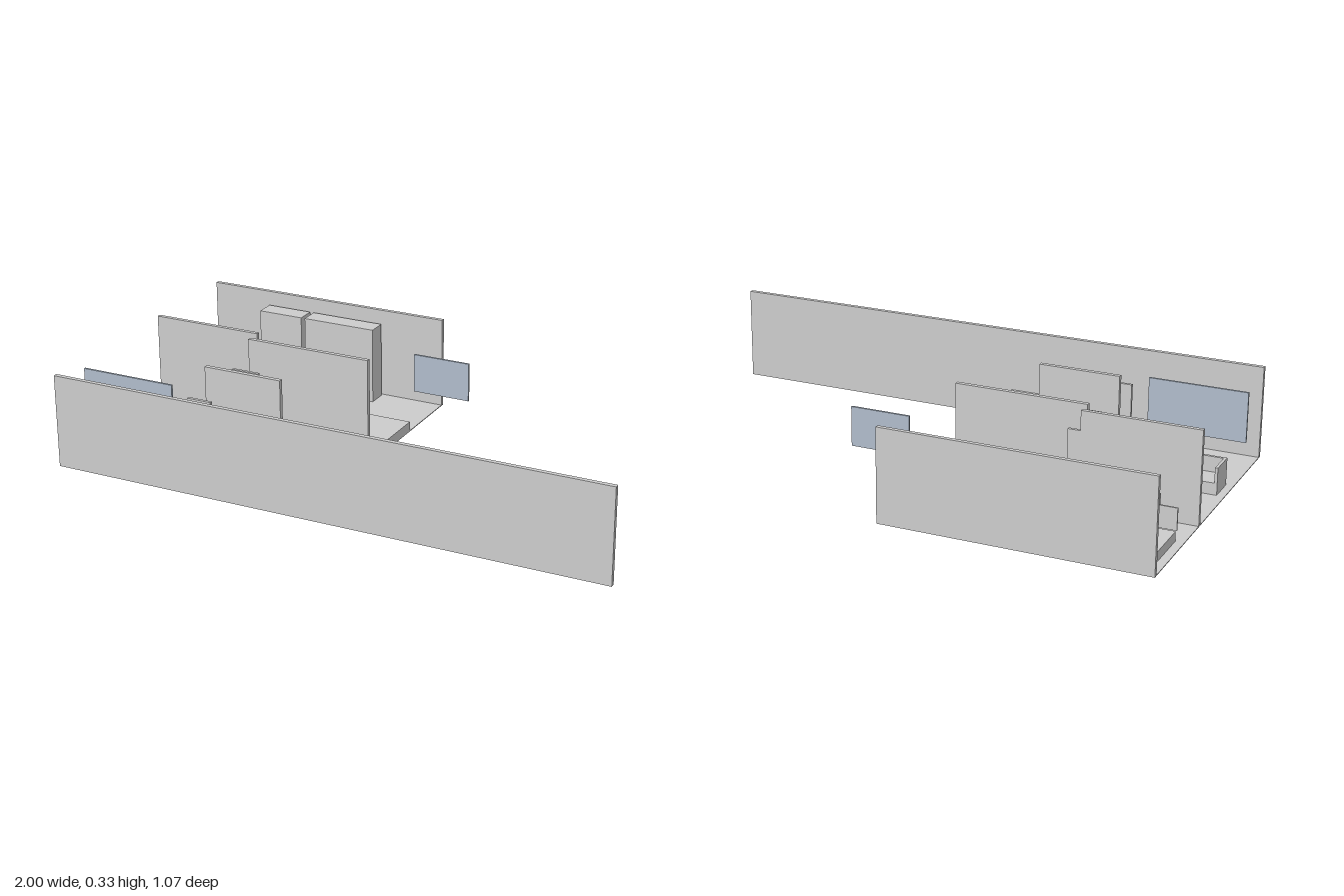
import * as THREE from 'three';

export function createModel() {
  const model = new THREE.Group();
  const grey = new THREE.MeshStandardMaterial({ color: 0xcccccc });
  grey.name = 'light grey';
  const blue = new THREE.MeshStandardMaterial({ color: 0xb0bccb });
  blue.name = 'glass blue';

  // Axis-aligned box given by its limits on each axis
  function box(name, x0, x1, y0, y1, z0, z1, parent = model, material = grey) {
    const mesh = new THREE.Mesh(new THREE.BoxGeometry(x1 - x0, y1 - y0, z1 - z0), material);
    mesh.position.set((x0 + x1) / 2, (y0 + y1) / 2, (z0 + z1) / 2);
    mesh.name = name;
    parent.add(mesh);
    return mesh;
  }
  function group(name) {
    const g = new THREE.Group();
    g.name = name;
    model.add(g);
    return g;
  }
  // Thin square posts standing on the floor
  function legs(parent, xs, zs, top) {
    for (const x of xs) for (const z of zs) {
      box('leg', x - 0.002, x + 0.002, 0.003, top, z - 0.002, z + 0.002, parent);
    }
  }

  box('floor', -1, -0.062, 0, 0.003, -0.537, 0.537);

  // Full-height walls
  const H = 0.331;
  box('frontWall', -1, 1, 0, H, 0.521, 0.537);
  box('backWall', -1, -0.062, 0, H, -0.537, -0.522);
  box('bedroomWall', -1, -0.59, 0.003, H, -0.125, -0.11);
  box('hallWall', -0.59, -0.122, 0.003, H, -0.066, -0.05);
  box('kitchenWall', -0.59, -0.3, 0.003, H, 0.228, 0.244);

  // Lower doors beside the walls
  box('bedroomDoor', -0.59, -0.545, 0.003, 0.26, -0.122, -0.111);
  box('hallDoor', -0.59, -0.485, 0.003, 0.26, 0.057, 0.068);
  box('livingDoor', -0.59, -0.5, 0.003, 0.26, 0.351, 0.362);

  // Glass panels
  box('largeWindow', -1, -0.65, 0.116, 0.295, 0.354, 0.362, model, blue);
  box('smallWindow', -0.06, 0.15, 0.144, 0.282, -0.294, -0.286, model, blue);

  // Wardrobes along the back wall
  box('smallWardrobe', -0.765, -0.593, 0.003, 0.282, -0.509, -0.439);
  box('largeWardrobe', -0.578, -0.3, 0.003, 0.282, -0.509, -0.439);

  // Beds with thin raised headboards
  const wideBed = group('wideBed');
  box('mattress', -0.287, -0.062, 0.003, 0.037, -0.259, -0.076, wideBed);
  box('headboard', -0.293, -0.287, 0.043, 0.118, -0.263, -0.073, wideBed);
  const narrowBed = group('narrowBed');
  box('mattress', -0.97, -0.865, 0.003, 0.037, -0.498, -0.264, narrowBed);
  box('headboard', -0.975, -0.857, 0.041, 0.118, -0.269, -0.263, narrowBed);

  // Desk
  const desk = group('desk');
  box('deskTop', -0.908, -0.7, 0.086, 0.09, -0.333, -0.232, desk);
  legs(desk, [-0.9, -0.708], [-0.322, -0.238], 0.086);

  // Row of stools
  for (let i = 0; i < 4; i++) {
    const x = -0.882 + i * 0.07;
    box('stool', x, x + 0.052, 0.003, 0.11, -0.21, -0.161);
  }

  // Sofa, open towards the back of the house
  const sofa = group('sofa');
  box('seat', -0.963, -0.694, 0.003, 0.045, 0.14, 0.23, sofa);
  box('backrest', -0.963, -0.694, 0.003, 0.1, 0.23, 0.24, sofa);
  for (const x of [-0.973, -0.694]) box('armrest', x, x + 0.01, 0.003, 0.1, 0.14, 0.24, sofa);

  // T-shaped counter on slim legs
  const counter = group('counter');
  box('counterTop', -0.422, -0.075, 0.101, 0.106, 0.452, 0.521, counter);
  box('counterArm', -0.214, -0.144, 0.101, 0.106, 0.232, 0.452, counter);
  legs(counter, [-0.412, -0.085], [0.467, 0.515], 0.101);
  legs(counter, [-0.207, -0.151], [0.243], 0.101);

  return model;
}
